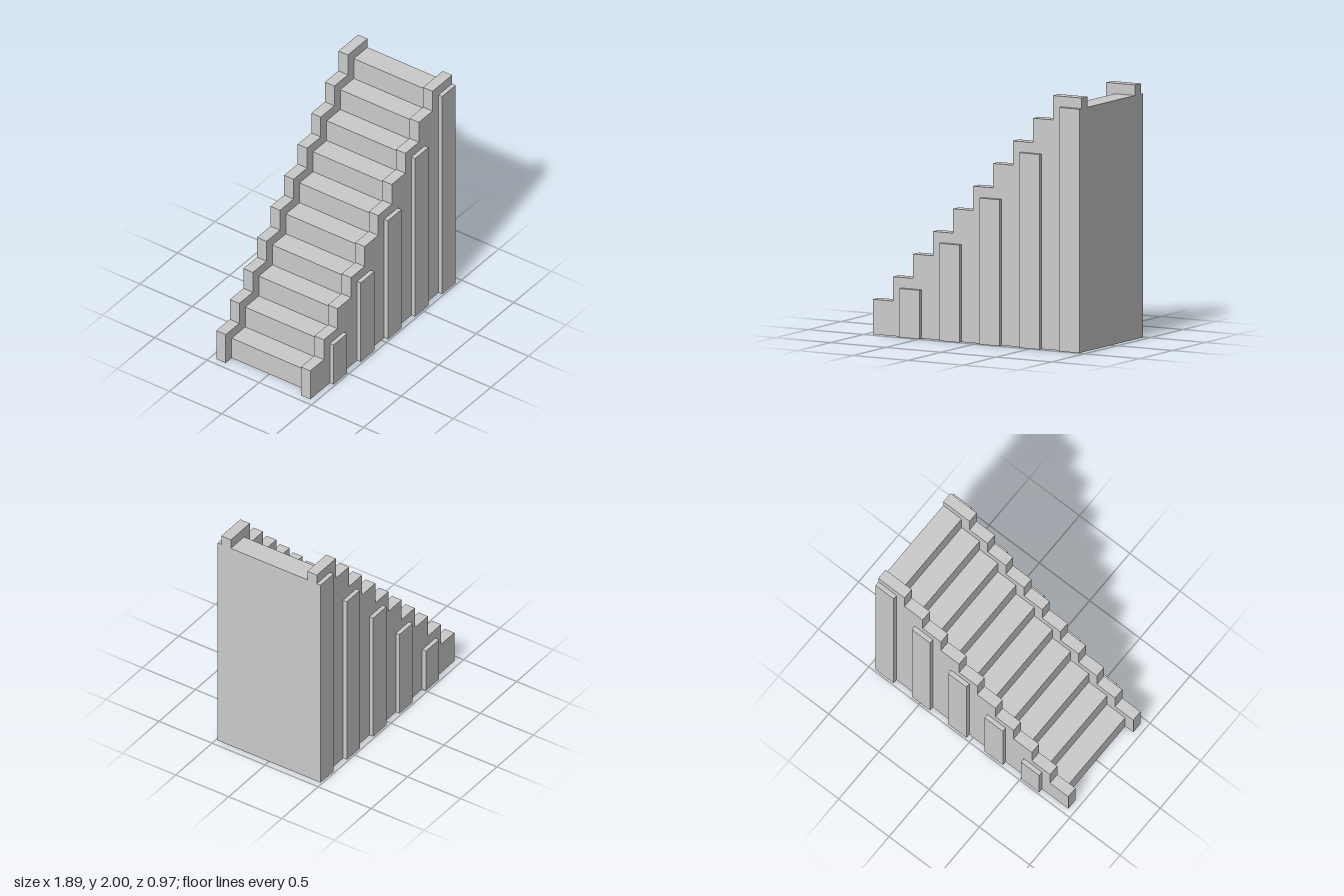
import * as THREE from 'three';

const STEPS = 10, RUN = 0.181, RISE = 0.1917;
const END = 0.945, TREAD_X = -0.865, RAIL_X = -0.945, RAIL_UP = 0.083;
const Z_IN = 0.36, Z_OUT = 0.45, Z_PILASTER = 0.485;
const TOP = STEPS * RISE;

const material = new THREE.MeshStandardMaterial({ color: 0xcccccc, flatShading: true, side: THREE.DoubleSide });

// Zigzag outline of [x, y] corners, climbing from the floor to the far end
function stairLine(startX, lift) {
  const line = [[startX, 0]];
  for (let i = 0; i < STEPS; i++) {
    const y = (i + 1) * RISE + lift;
    const next = i === STEPS - 1 ? END : startX + (i + 1) * RUN;
    line.push([startX + i * RUN, y], [next, y]);
  }
  return line;
}

// Sheet swept along z under a polyline; faces up when the line runs towards +x
function ribbon(name, line, za, zb) {
  const z0 = Math.min(za, zb), z1 = Math.max(za, zb), pos = [];
  for (let i = 0; i + 1 < line.length; i++) {
    const [ax, ay] = line[i], [bx, by] = line[i + 1];
    pos.push(ax, ay, z0, ax, ay, z1, bx, by, z1, ax, ay, z0, bx, by, z1, bx, by, z0);
  }
  const geometry = new THREE.BufferGeometry();
  geometry.setAttribute('position', new THREE.Float32BufferAttribute(pos, 3));
  geometry.computeVertexNormals();
  return named(name, geometry);
}

// Flat upright sheet at depth z, facing +z or -z
function panel(name, outline, z, facing) {
  const shape = new THREE.Shape(outline.map(([x, y]) => new THREE.Vector2(x, y)));
  const geometry = new THREE.ShapeGeometry(shape);
  if (facing < 0) {
    geometry.index.array.reverse();
    geometry.computeVertexNormals();
  }
  geometry.translate(0, 0, z);
  return named(name, geometry);
}

function named(name, geometry) {
  const mesh = new THREE.Mesh(geometry, material);
  mesh.name = name;
  return mesh;
}

export function createModel() {
  const model = new THREE.Group();
  model.name = 'staircase';

  const treads = stairLine(TREAD_X, 0);
  const rail = stairLine(RAIL_X, RAIL_UP);

  // Steps and the tall end wall; the underside stays open
  model.add(ribbon('steps', treads, -Z_IN, Z_IN));
  model.add(ribbon('endWall', [[END, TOP], [END, 0]], -Z_PILASTER, Z_PILASTER));

  // One pilaster on every second step
  const pilasters = [];
  for (let n = 2; n <= STEPS; n += 2) {
    const x0 = TREAD_X + (n - 1) * RUN;
    pilasters.push({ x0, x1: n === STEPS ? END : x0 + RUN, h: n * RISE });
  }

  // Side wall outline, recessed behind each pilaster
  const wall = [...rail];
  for (const { x0, x1, h } of [...pilasters].reverse()) {
    if (x1 < END) wall.push([x1, 0]);
    wall.push([x1, h], [x0, h], [x0, 0]);
  }

  for (const s of [1, -1]) {
    const side = new THREE.Group();
    side.name = s > 0 ? 'frontSide' : 'backSide';

    // Stepped parapet: outer wall, inner face above the steps, coping
    side.add(panel('sideWall', wall, s * Z_OUT, s));
    side.add(panel('parapetInnerFace', [...treads, ...[...rail].reverse()], s * Z_IN, -s));
    side.add(ribbon('parapetCoping', [...rail, [END, TOP]], s * Z_IN, s * Z_OUT));

    // Hollow pilasters; the last one shares the end wall
    for (const { x0, x1, h } of pilasters) {
      const edge = [[x0, 0], [x0, h], [x1, h]];
      if (x1 < END) edge.push([x1, 0]);
      const pilaster = new THREE.Group();
      pilaster.name = 'pilaster';
      pilaster.add(ribbon('pilasterEdge', edge, s * Z_OUT, s * Z_PILASTER));
      pilaster.add(panel('pilasterFace', [[x0, 0], [x1, 0], [x1, h], [x0, h]], s * Z_PILASTER, s));
      side.add(pilaster);
    }
    model.add(side);
  }
  return model;
}
